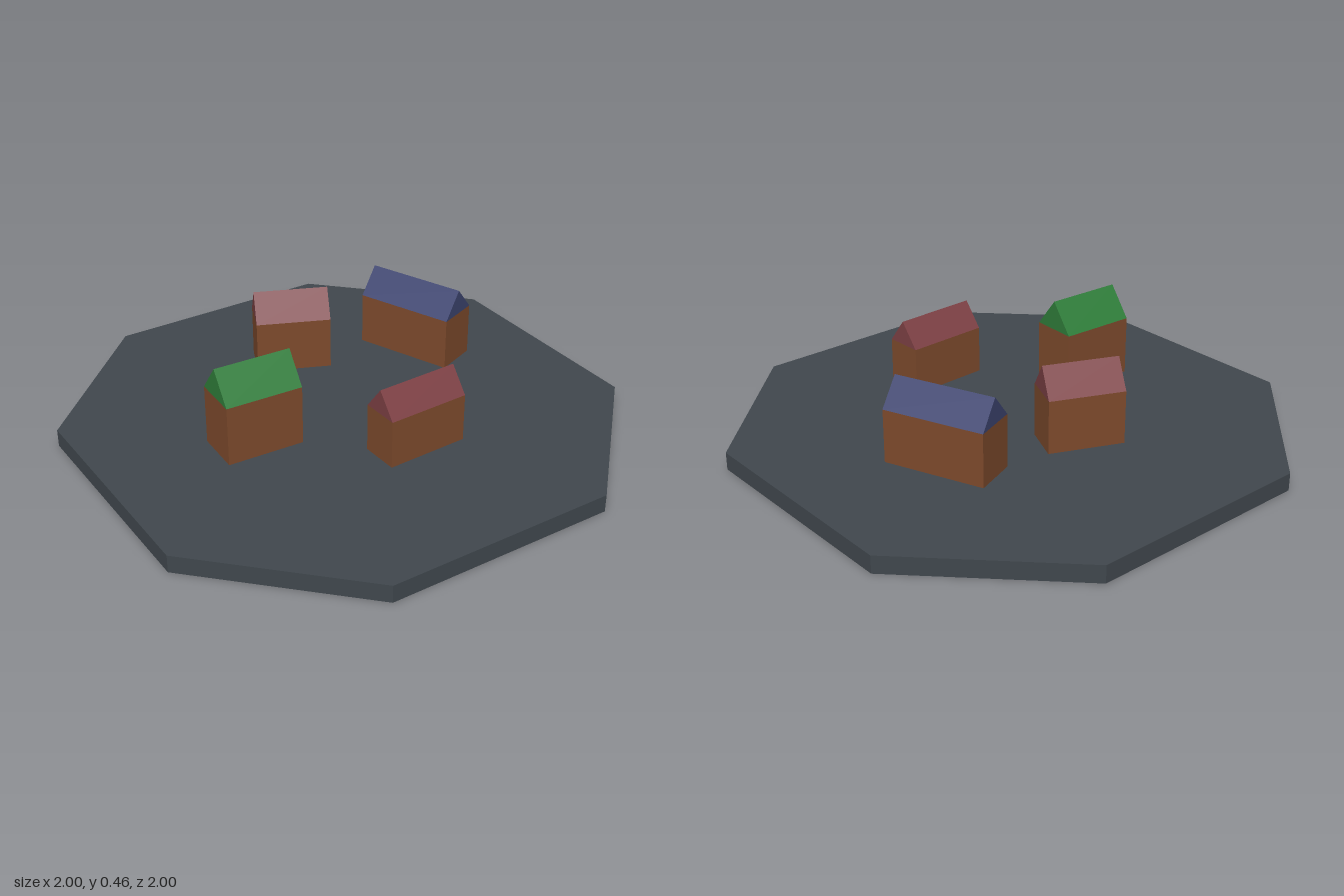
import * as THREE from 'three';

const paint = (color) => new THREE.MeshStandardMaterial({ color, flatShading: true });

// Outline in x,y pushed along z by depth, centred on z = 0
function prism(points, depth) {
  const shape = new THREE.Shape(points.map(([x, y]) => new THREE.Vector2(x, y)));
  return new THREE.ExtrudeGeometry(shape, { depth, bevelEnabled: false }).translate(0, 0, -depth / 2);
}

const wallPaint = paint(0x7d4a2c);
const redPaint = paint(0x7d4044);
const greenPaint = paint(0x2f7d3a);
const bluePaint = paint(0x3d4470);

// Block of walls with a gabled roof; the ridge runs along the house's length
function house({ name, x, z, turn, length, depth, bottom, eave, ridge, roofPaint }) {
  const group = new THREE.Group();
  group.name = name;

  const walls = new THREE.Mesh(new THREE.BoxGeometry(length, eave - bottom, depth), wallPaint);
  walls.name = 'walls';
  walls.position.y = (bottom + eave) / 2;

  const gable = [[-depth / 2, 0], [depth / 2, 0], [0, ridge - eave]];
  const roof = new THREE.Mesh(prism(gable, length).rotateY(Math.PI / 2), roofPaint);
  roof.name = 'roof';
  roof.position.y = eave;

  group.add(walls, roof);
  group.position.set(x, 0, z);
  group.rotation.y = turn;
  return group;
}

export function createModel() {
  const model = new THREE.Group();
  model.name = 'village';

  // Eight-sided ground slab
  const c = 0.46;
  const outline = [[1, -c], [1, c], [c, 1], [-c, 1], [-1, c], [-1, -c], [-c, -1], [c, -1]];
  const slab = new THREE.Mesh(prism(outline, 0.07).rotateX(-Math.PI / 2), paint(0x40474d));
  slab.name = 'groundSlab';
  slab.position.y = 0.035;
  model.add(slab);

  // Houses, hovering slightly above the slab
  const houses = [
    { name: 'greenHouse', x: -0.43, z: 0.06, turn: -0.05, length: 0.305, depth: 0.185,
      bottom: 0.1, eave: 0.337, ridge: 0.455, roofPaint: greenPaint },
    { name: 'frontRedHouse', x: 0.05, z: 0.41, turn: 0.035, length: 0.33, depth: 0.15,
      bottom: 0.11, eave: 0.3, ridge: 0.397, roofPaint: redPaint },
    { name: 'backRedHouse', x: -0.007, z: -0.373, turn: -0.41, length: 0.295, depth: 0.163,
      bottom: 0.117, eave: 0.327, ridge: 0.433, roofPaint: redPaint },
    { name: 'blueHouse', x: 0.483, z: -0.2, turn: -1.196, length: 0.405, depth: 0.176,
      bottom: 0.112, eave: 0.322, ridge: 0.424, roofPaint: bluePaint },
  ];
  for (const spec of houses) model.add(house(spec));

  return model;
}
